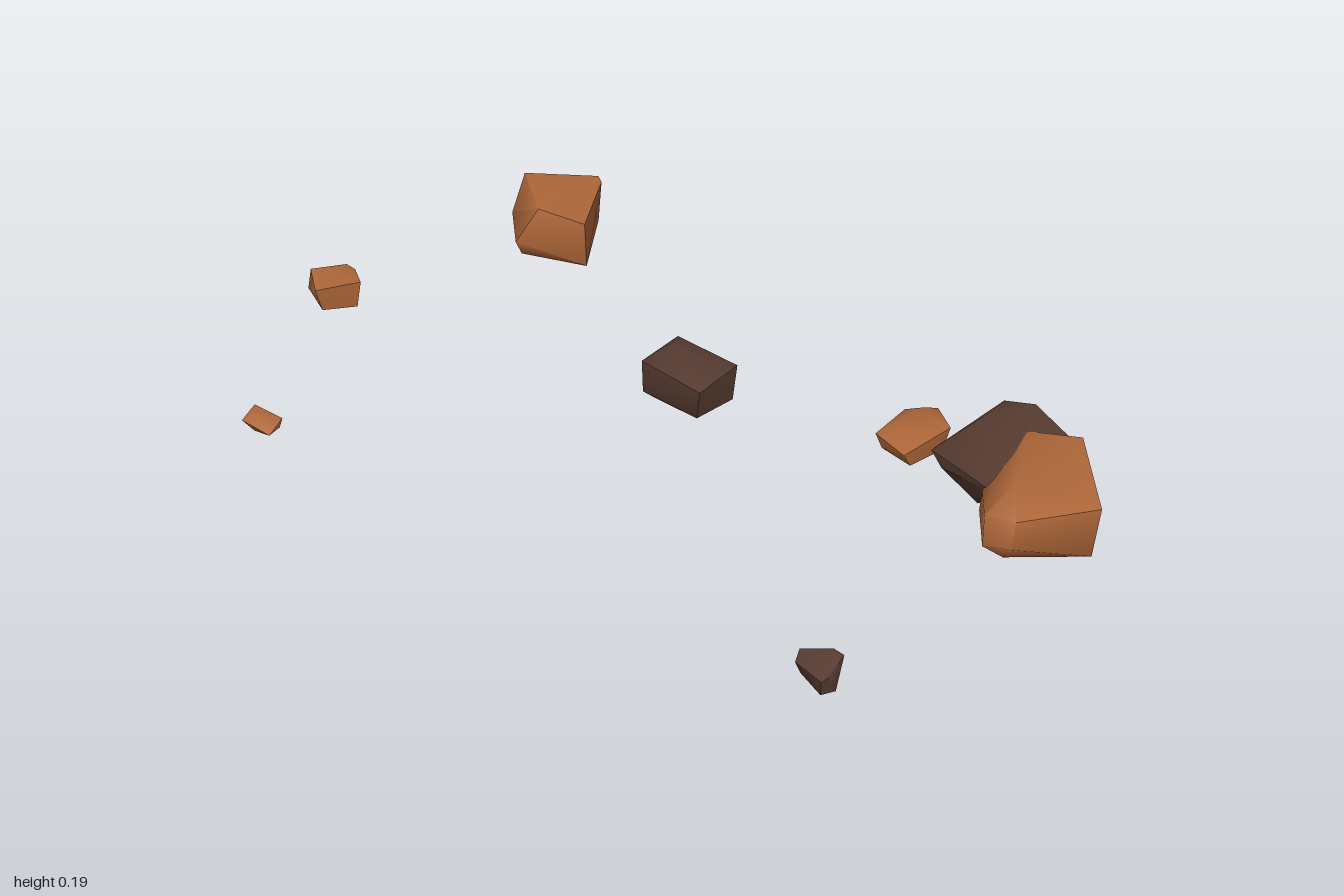
import * as THREE from 'three';
import { ConvexGeometry } from 'three/addons/geometries/ConvexGeometry.js';
import { toCreasedNormals } from 'three/addons/utils/BufferGeometryUtils.js';

export function createModel() {
  const group = new THREE.Group();
  group.name = 'scatteredRocks';

  const rust = new THREE.MeshStandardMaterial({ color: 0xb0683a });
  rust.name = 'rustOrange';
  const brown = new THREE.MeshStandardMaterial({ color: 0x573c31 });
  brown.name = 'darkBrown';

  // A rock is the convex hull of its few corner points, softly shaded
  function addRock(name, material, corners) {
    const hull = new ConvexGeometry(corners.map((c) => new THREE.Vector3(...c)));
    const mesh = new THREE.Mesh(toCreasedNormals(hull, THREE.MathUtils.degToRad(58)), material);
    mesh.name = name;
    group.add(mesh);
  }

  // Pair of overlapping boulders
  addRock('largeRustBoulder', rust, [
    [0.78, 0.165, -0.095], [0.9, 0.18, -0.1], [0.995, 0.175, 0.11], [0.81, 0.19, 0.11],
    [0.84, 0.165, 0.205], [0.77, 0.15, 0.19], [0.84, 0.1, 0.217], [0.775, 0.08, 0.205],
    [0.735, 0.12, 0.08], [0.735, 0.075, 0.09], [0.73, 0.12, -0.01], [0.74, 0.05, 0],
    [0.985, 0.035, 0.1], [0.785, 0, 0.01], [0.81, 0.02, 0.155], [0.88, 0.02, -0.09], [0.79, 0.02, -0.09],
  ]);
  addRock('largeBrownBoulder', brown, [
    [0.59, 0.105, -0.03], [0.68, 0.17, -0.1], [0.705, 0.165, -0.18], [0.775, 0.175, -0.18],
    [0.9, 0.15, -0.1], [0.84, 0.15, 0.05], [0.765, 0.13, 0.09], [0.62, 0.08, -0.01],
    [0.71, 0.015, 0], [0.7, 0.015, -0.1], [0.74, 0.01, -0.17], [0.82, 0.01, -0.14],
  ]);

  // Medium rocks
  addRock('backRustRock', rust, [
    [-0.545, 0.17, -0.48], [-0.66, 0.145, -0.65], [-0.485, 0.145, -0.705], [-0.47, 0.14, -0.69],
    [-0.43, 0.145, -0.495], [-0.595, 0.08, -0.45], [-0.645, 0.1, -0.54],
    [-0.43, 0.02, -0.5], [-0.48, 0.025, -0.69], [-0.6, 0.02, -0.49], [-0.635, 0.02, -0.6],
  ]);
  addRock('centreBrownRock', brown, [
    [-0.05, 0.155, -0.12], [-0.065, 0.12, -0.19], [0.105, 0.13, -0.125], [0.06, 0.12, -0.01],
    [-0.1, 0.13, -0.06], [-0.1, 0.04, -0.065], [0.097, 0.035, -0.12], [0.045, 0.03, -0.03],
    [-0.085, 0.02, -0.08], [-0.04, 0.025, -0.16],
  ]);

  // Small stones
  addRock('leftRustStone', rust, [
    [-0.995, 0.09, -0.15], [-0.925, 0.09, -0.2], [-0.9, 0.085, -0.195], [-0.855, 0.095, -0.14],
    [-0.945, 0.085, -0.08], [-0.985, 0.06, -0.115],
    [-0.975, 0.025, -0.14], [-0.915, 0.02, -0.19], [-0.87, 0.02, -0.14], [-0.94, 0.02, -0.095],
  ]);
  addRock('rightRustStone', rust, [
    [0.45, 0.075, -0.075], [0.485, 0.08, -0.175], [0.525, 0.1, -0.17], [0.555, 0.09, -0.195],
    [0.605, 0.1, -0.125], [0.53, 0.07, -0.03], [0.465, 0.035, -0.08], [0.54, 0.03, -0.05],
    [0.59, 0.03, -0.13], [0.54, 0.025, -0.18],
  ]);
  addRock('frontBrownStone', brown, [
    [0.525, 0.075, 0.63], [0.59, 0.08, 0.61], [0.615, 0.08, 0.62], [0.605, 0.07, 0.68],
    [0.595, 0.07, 0.7], [0.53, 0.075, 0.67],
    [0.535, 0.03, 0.65], [0.59, 0.025, 0.625], [0.615, 0.022, 0.665], [0.59, 0.02, 0.685],
  ]);
  addRock('frontRustPebble', rust, [
    [-0.875, 0.065, 0.335], [-0.8, 0.055, 0.345], [-0.8, 0.05, 0.405], [-0.88, 0.055, 0.385],
    [-0.855, 0.072, 0.37], [-0.8, 0.04, 0.36], [-0.86, 0.02, 0.37],
  ]);

  return group;
}
